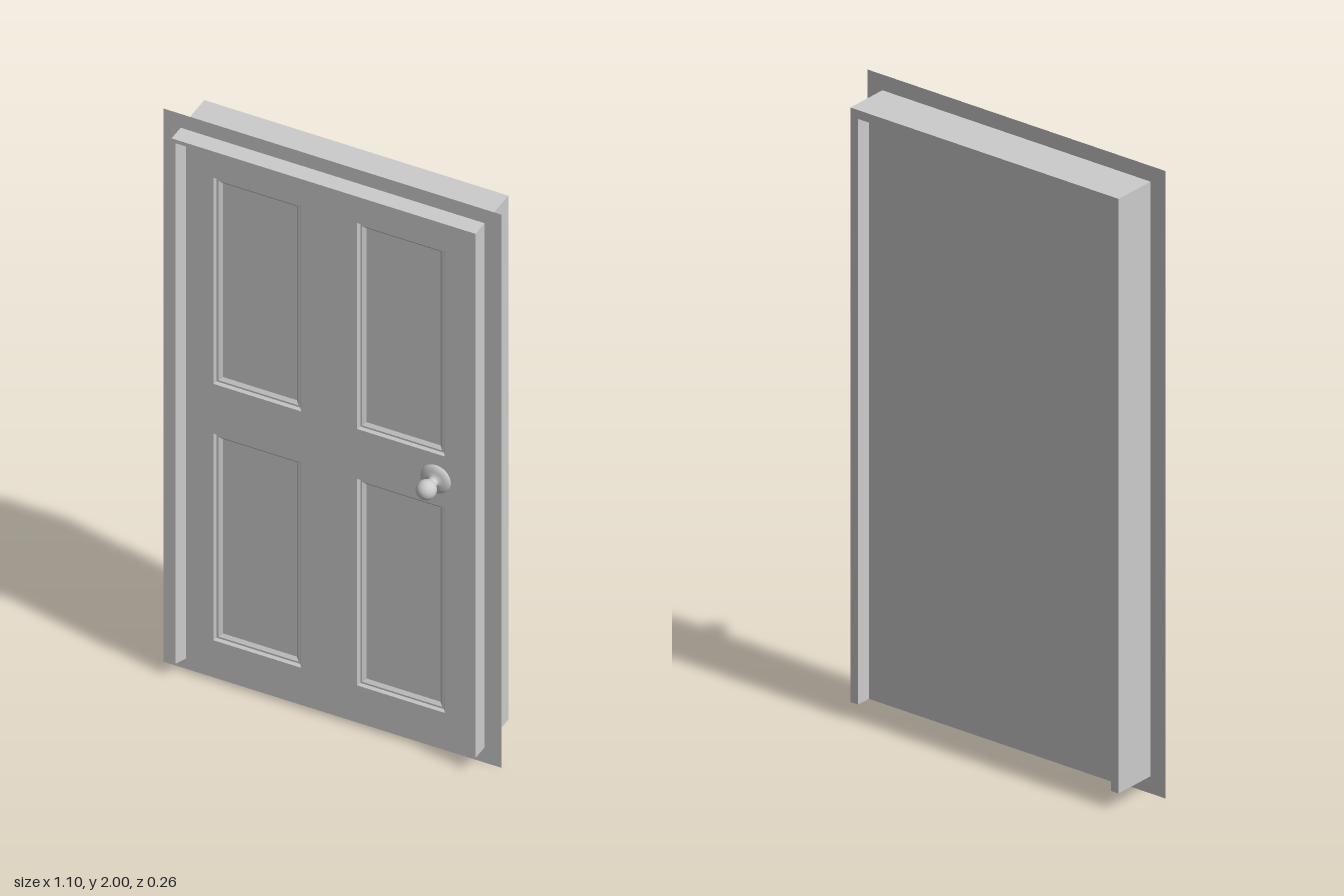
import * as THREE from 'three';

const material = new THREE.MeshStandardMaterial({ color: 0xcccccc });
const sheetMaterial = new THREE.MeshStandardMaterial({ color: 0xcccccc, side: THREE.DoubleSide });

function part(name, geometry, x = 0, y = 0, z = 0, mat = material) {
  const mesh = new THREE.Mesh(geometry, mat);
  mesh.name = name;
  mesh.position.set(x, y, z);
  return mesh;
}

// Sweeps a moulding profile of [inset, z] points round mitred corners [x, y, inwardX, inwardY].
function moulding(corners, profile, closedPath) {
  const rings = corners.map(([x, y, dx, dy]) =>
    profile.map(([inset, z]) => [x + dx * inset, y + dy * inset, z]));
  const positions = [];
  const tri = (a, b, c) => positions.push(...a, ...b, ...c);
  const n = profile.length;
  const spans = closedPath ? rings.length : rings.length - 1;
  const sides = closedPath ? n - 1 : n;
  for (let i = 0; i < spans; i++) {
    const p = rings[i];
    const q = rings[(i + 1) % rings.length];
    for (let j = 0; j < sides; j++) {
      const k = (j + 1) % n;
      tri(p[j], q[j], q[k]);
      tri(p[j], q[k], p[k]);
    }
  }
  if (!closedPath) {
    const first = rings[0];
    const last = rings[rings.length - 1];
    for (let j = 1; j < n - 1; j++) {
      tri(first[0], first[j], first[j + 1]);
      tri(last[0], last[j + 1], last[j]);
    }
  }
  const geometry = new THREE.BufferGeometry();
  geometry.setAttribute('position', new THREE.Float32BufferAttribute(positions, 3));
  geometry.computeVertexNormals();
  return geometry;
}

// Rectangle as a counter-clockwise list of points.
const rect = (x0, y0, x1, y1) =>
  [[x0, y0], [x1, y0], [x1, y1], [x0, y1]].map(([x, y]) => new THREE.Vector2(x, y));

export function createModel() {
  const model = new THREE.Group();
  model.name = 'door';

  const halfW = 0.493, bottom = 0.055, top = 1.95, jamb = 0.028;
  const doorFront = 0.04, doorBack = -0.08, skin = 0.02;
  const doorHalfW = halfW - jamb, doorTop = top - jamb;

  // Thin wall sheet round the frame
  const wall = new THREE.Shape(rect(-0.548, 0, 0.548, 2));
  wall.holes.push(new THREE.Path(rect(-doorHalfW, bottom, doorHalfW, doorTop)));
  model.add(part('wallSheet', new THREE.ShapeGeometry(wall), 0, 0, 0.018, sheetMaterial));

  // Jambs and header with a bevelled front inner edge
  model.add(part('frame', moulding(
    [[halfW, bottom, -1, 0], [halfW, top, -1, -1], [-halfW, top, 1, -1], [-halfW, bottom, 1, 0]],
    [[0, -0.13], [0, 0.075], [0.013, 0.075], [jamb, doorFront], [jamb, -0.13]], false)));

  // Door leaf: plain core at the back, pierced skin at the front
  const coreDepth = doorFront - skin - doorBack;
  model.add(part('doorCore', new THREE.BoxGeometry(2 * doorHalfW, doorTop - bottom, coreDepth),
    0, (doorTop + bottom) / 2, doorBack + coreDepth / 2));

  const face = new THREE.Shape(rect(-doorHalfW, bottom, doorHalfW, doorTop));
  for (const side of [-1, 1]) {
    for (const [y0, y1] of [[0.153, 0.9], [1.08, 1.825]]) {
      const x0 = side * 0.233 - 0.142, x1 = side * 0.233 + 0.142;
      face.holes.push(new THREE.Path(rect(x0, y0, x1, y1)));

      // Sunk moulding and flat field of each panel
      const panel = new THREE.Group();
      panel.name = 'panel';
      panel.add(part('panelMoulding', moulding(
        [[x0, y0, 1, 1], [x1, y0, -1, 1], [x1, y1, -1, -1], [x0, y1, 1, -1]],
        [[0, doorFront], [0.006, 0.032], [0.012, 0.032], [0.022, 0.024]], true)));
      panel.add(part('panelField', new THREE.PlaneGeometry(x1 - x0 - 0.044, y1 - y0 - 0.044),
        (x0 + x1) / 2, (y0 + y1) / 2, 0.024));
      model.add(panel);
    }
  }
  model.add(part('doorFace',
    new THREE.ExtrudeGeometry(face, { depth: skin, bevelEnabled: false }), 0, 0, doorFront - skin));

  // Round knob on a domed rose and short neck
  const knob = new THREE.Group();
  knob.name = 'knob';
  knob.position.set(0.346, 0.99, doorFront);
  const rose = new THREE.LatheGeometry(
    [[0.049, 0], [0.048, 0.005], [0.04, 0.01], [0.03, 0.013], [0.018, 0.015], [0.016, 0.022], [0.016, 0.045]]
      .map(([r, h]) => new THREE.Vector2(r, h)), 32);
  rose.rotateX(Math.PI / 2);
  knob.add(part('knobRose', rose));
  knob.add(part('knobBall', new THREE.SphereGeometry(0.031, 32, 20), 0, 0, 0.059));
  model.add(knob);

  return model;
}
